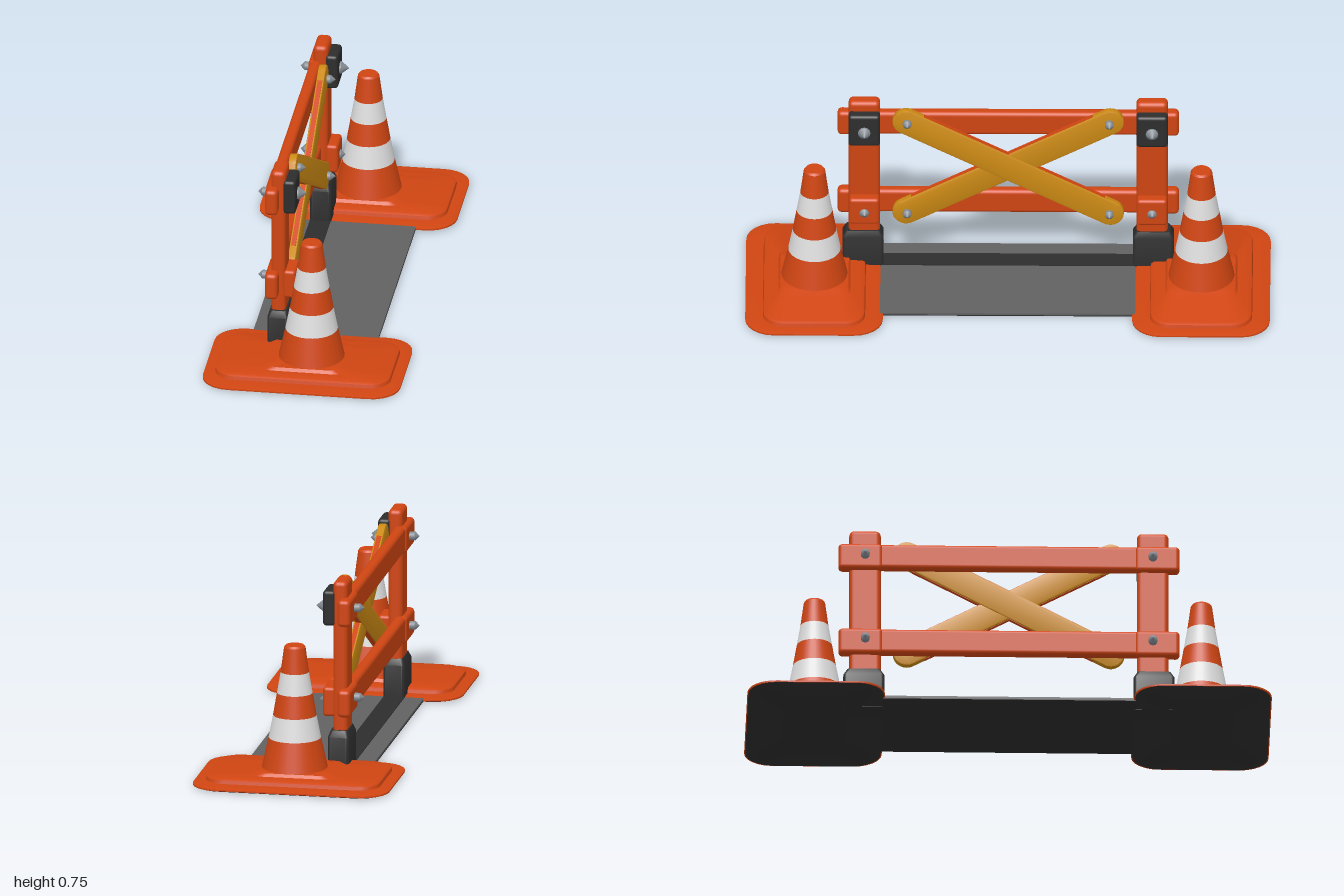
import * as THREE from 'three';
import { toCreasedNormals } from 'three/addons/utils/BufferGeometryUtils.js';
import { RoundedBoxGeometry } from 'three/addons/geometries/RoundedBoxGeometry.js';

const paint = (name, color) => {
  const m = new THREE.MeshStandardMaterial({ color });
  m.name = name;
  return m;
};

// Stack of rounded rectangles [halfX, halfZ, cornerRadius, y], capped at both ends
function loft(rings, steps = 6) {
  const pos = [], idx = [], n = 4 * (steps + 1);
  for (const [hx, hz, r, y] of rings) {
    for (let c = 0; c < 4; c++) {
      const sx = c === 0 || c === 3 ? 1 : -1, sz = c < 2 ? 1 : -1;
      for (let s = 0; s <= steps; s++) {
        const a = (c + s / steps) * Math.PI / 2;
        pos.push(sx * (hx - r) + r * Math.cos(a), y, sz * (hz - r) + r * Math.sin(a));
      }
    }
  }
  const last = rings.length - 1, low = rings.length * n, high = low + 1;
  pos.push(0, rings[0][3], 0, 0, rings[last][3], 0);
  for (let j = 0; j < n; j++) {
    const k = (j + 1) % n;
    for (let i = 0; i < last; i++) {
      const a = i * n + j, b = i * n + k;
      idx.push(a, a + n, b, b, a + n, b + n);
    }
    idx.push(low, j, k, high, last * n + k, last * n + j);
  }
  const g = new THREE.BufferGeometry();
  g.setAttribute('position', new THREE.Float32BufferAttribute(pos, 3));
  g.setIndex(idx);
  return toCreasedNormals(g, 0.6);
}

export function createModel() {
  const root = new THREE.Group();
  root.name = 'roadBarrier';
  const orange = paint('orange', 0xd04512);
  const white = paint('white', 0xdedede);
  const yellow = paint('yellow', 0xcc8a14);
  const black = paint('black', 0x2d2d2d);
  const grey = paint('plateGrey', 0x616161);
  const steel = paint('steel', 0x858c93);

  const add = (name, geo, mat, x = 0, y = 0, z = 0, parent = root) => {
    const m = new THREE.Mesh(geo, mat);
    m.name = name;
    m.position.set(x, y, z);
    parent.add(m);
    return m;
  };
  // Rounded block given by its limits
  const block = (name, mat, x0, x1, y0, y1, z0, z1, r) =>
    add(name, new RoundedBoxGeometry(x1 - x0, y1 - y0, z1 - z0, 3, r), mat,
      (x0 + x1) / 2, (y0 + y1) / 2, (z0 + z1) / 2);
  // Pointed bolt along x, dir is +1 or -1
  const bolt = (x, y, z, dir, shaft, tip, r) => {
    const g = new THREE.Group();
    g.name = 'bolt';
    g.position.set(x, y, z);
    g.rotation.z = -dir * Math.PI / 2;
    add('boltShaft', new THREE.CylinderGeometry(r, r, shaft, 12), steel, 0, shaft / 2, 0, g);
    add('boltTip', new THREE.ConeGeometry(r, tip, 12), steel, 0, shaft + tip / 2, 0, g);
    root.add(g);
  };

  // Ground plate between the pads
  add('groundPlate', new THREE.BoxGeometry(0.48, 0.008, 1.1), grey, -0.005, 0.01, 0);
  add('plateUnderside', new THREE.BoxGeometry(0.48, 0.004, 1.1), black, -0.005, 0.004, 0);
  add('plateStrip', new THREE.BoxGeometry(0.08, 0.003, 1), black, -0.132, 0.0155, 0);

  // Cone stripes: [colour, lower y, upper y, lower radius, upper radius]
  const bands = [
    [orange, 0.045, 0.165, 0.127, 0.1], [white, 0.165, 0.253, 0.1, 0.083],
    [orange, 0.253, 0.34, 0.083, 0.068], [white, 0.34, 0.422, 0.068, 0.054],
    [orange, 0.422, 0.519, 0.054, 0.041], [orange, 0.519, 0.527, 0.041, 0.035],
  ];
  const padGeo = loft([
    [0.38, 0.262, 0.11, 0.005], [0.38, 0.262, 0.11, 0.011], [0.365, 0.247, 0.1, 0.015],
    [0.338, 0.195, 0.08, 0.017], [0.335, 0.192, 0.08, 0.03], [0.323, 0.182, 0.075, 0.036],
    [0.165, 0.137, 0.05, 0.038], [0.142, 0.13, 0.05, 0.05],
  ]);
  const underGeo = loft([[0.37, 0.252, 0.105, 0.001], [0.376, 0.258, 0.108, 0.005]]);
  const footGeo = loft([
    [0.041, 0.078, 0.012, 0], [0.041, 0.078, 0.012, 0.14], [0.032, 0.064, 0.012, 0.165],
  ], 3);

  for (const s of [1, -1]) {
    // Pad and cone
    add('pad', padGeo, orange, 0, 0, s * 0.737);
    add('padUnderside', underGeo, black, 0, 0, s * 0.737);
    const cone = new THREE.Group();
    cone.name = 'trafficCone';
    cone.position.set(0.016, 0, s * 0.737);
    root.add(cone);
    for (const [mat, y0, y1, r0, r1] of bands)
      add('coneBand', new THREE.CylinderGeometry(r1, r0, y1 - y0, 32, 1, true), mat, 0, (y0 + y1) / 2, 0, cone);
    add('coneTop', new THREE.CircleGeometry(0.035, 32).rotateX(-Math.PI / 2), orange, 0, 0.527, 0, cone);

    // Post, its foot and its clamps
    const z = s * 0.548;
    block('post', orange, -0.161, -0.105, 0.02, 0.748, z - 0.06, z + 0.06, 0.018);
    add('postFoot', footGeo, black, -0.131, 0, s * 0.553);
    block('upperClamp', black, -0.115, -0.066, 0.572, 0.71, z - 0.06, z + 0.06, 0.013);
    block('lowerClamp', orange, -0.115, -0.066, 0.215, 0.33, z - 0.058, z + 0.058, 0.013);
    bolt(-0.068, 0.637, z, 1, 0.008, 0.03, 0.024);
    bolt(-0.068, 0.27, z, 1, 0.006, 0.018, 0.018);
    for (const y of [0.635, 0.283]) bolt(-0.175, y, z, -1, 0.026, 0.017, 0.017);
  }

  // Rails behind the posts, with thicker ends
  for (const [y0, y1] of [[0.58, 0.685], [0.224, 0.33]]) {
    block('rail', orange, -0.174, -0.13, y0 + 0.004, y1, -0.64, 0.64, 0.016);
    for (const s of [1, -1])
      block('railEnd', orange, -0.18, -0.13, y0, y1, s * 0.565 - 0.085, s * 0.565 + 0.085, 0.016);
  }

  // Crossed braces in front of the rails
  const half = 0.44, r = 0.052;
  const outline = new THREE.Shape();
  outline.absarc(half, 0, r, -Math.PI / 2, Math.PI / 2);
  outline.absarc(-half, 0, r, Math.PI / 2, Math.PI * 1.5);
  const braceGeo = toCreasedNormals(new THREE.ExtrudeGeometry(outline, {
    depth: 0.02, bevelEnabled: true, bevelSize: 0.005, bevelOffset: -0.005,
    bevelThickness: 0.005, bevelSegments: 2, curveSegments: 10,
  }).rotateY(Math.PI / 2), 0.6);
  for (const s of [1, -1]) {
    const brace = new THREE.Group();
    brace.name = 'brace';
    brace.position.set(s > 0 ? -0.115 : -0.119, 0.46, 0);
    brace.rotation.x = -s * Math.atan2(0.207, 0.39);
    root.add(brace);
    add('braceBar', braceGeo, yellow, 0, 0, 0, brace);
    for (const e of [1, -1]) {
      add('braceEdge', new THREE.BoxGeometry(0.018, 0.003, 0.78), orange, 0.01, e * r, 0, brace);
      bolt(-0.092, 0.46 + e * 0.205, s * e * 0.385, 1, 0.014, 0.02, 0.017);
    }
  }
  return root;
}
